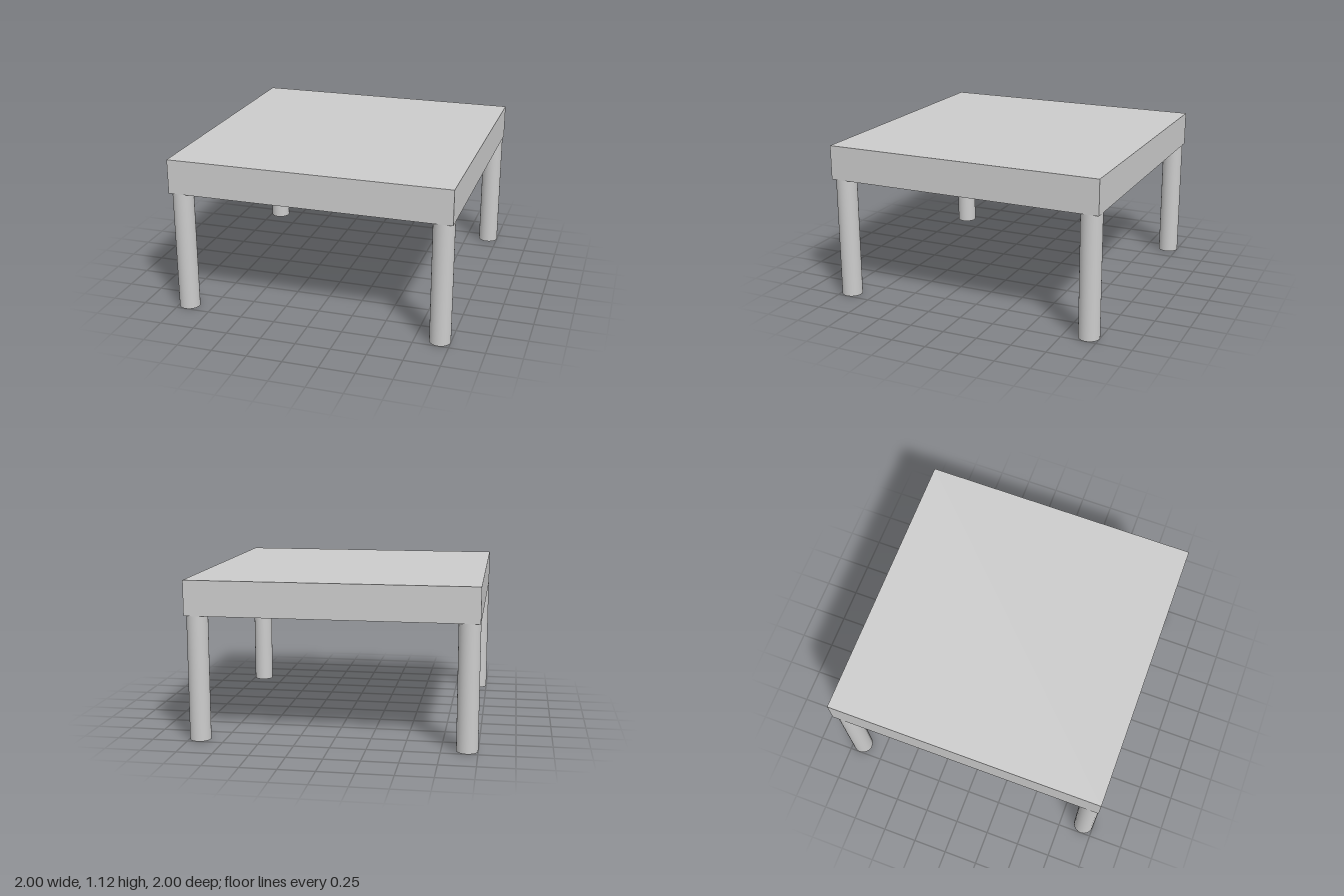
import * as THREE from 'three';

const TOP_Y = 1.125;     // height of the table surface
const UNDERSIDE = 0.88;  // where the legs meet the slab
const LEG_RADIUS = 0.074;

export function createModel() {
  const table = new THREE.Group();
  table.name = 'table';
  const material = new THREE.MeshStandardMaterial({ color: 0xcccccc });

  // Thick square slab
  const thickness = TOP_Y - UNDERSIDE;
  const top = new THREE.Mesh(new THREE.BoxGeometry(2, thickness, 2), material);
  top.name = 'tableTop';
  top.position.y = UNDERSIDE + thickness / 2;
  table.add(top);

  // Four round legs, flush with the slab's edges
  const legGeometry = new THREE.CylinderGeometry(LEG_RADIUS, LEG_RADIUS, UNDERSIDE, 32);
  const offset = 1 - LEG_RADIUS;
  for (const [sx, side] of [[1, 'Left'], [-1, 'Right']]) {
    for (const [sz, end] of [[1, 'front'], [-1, 'back']]) {
      const leg = new THREE.Mesh(legGeometry, material);
      leg.name = `${end}${side}Leg`;
      leg.position.set(sx * offset, UNDERSIDE / 2, sz * offset);
      table.add(leg);
    }
  }

  return table;
}
